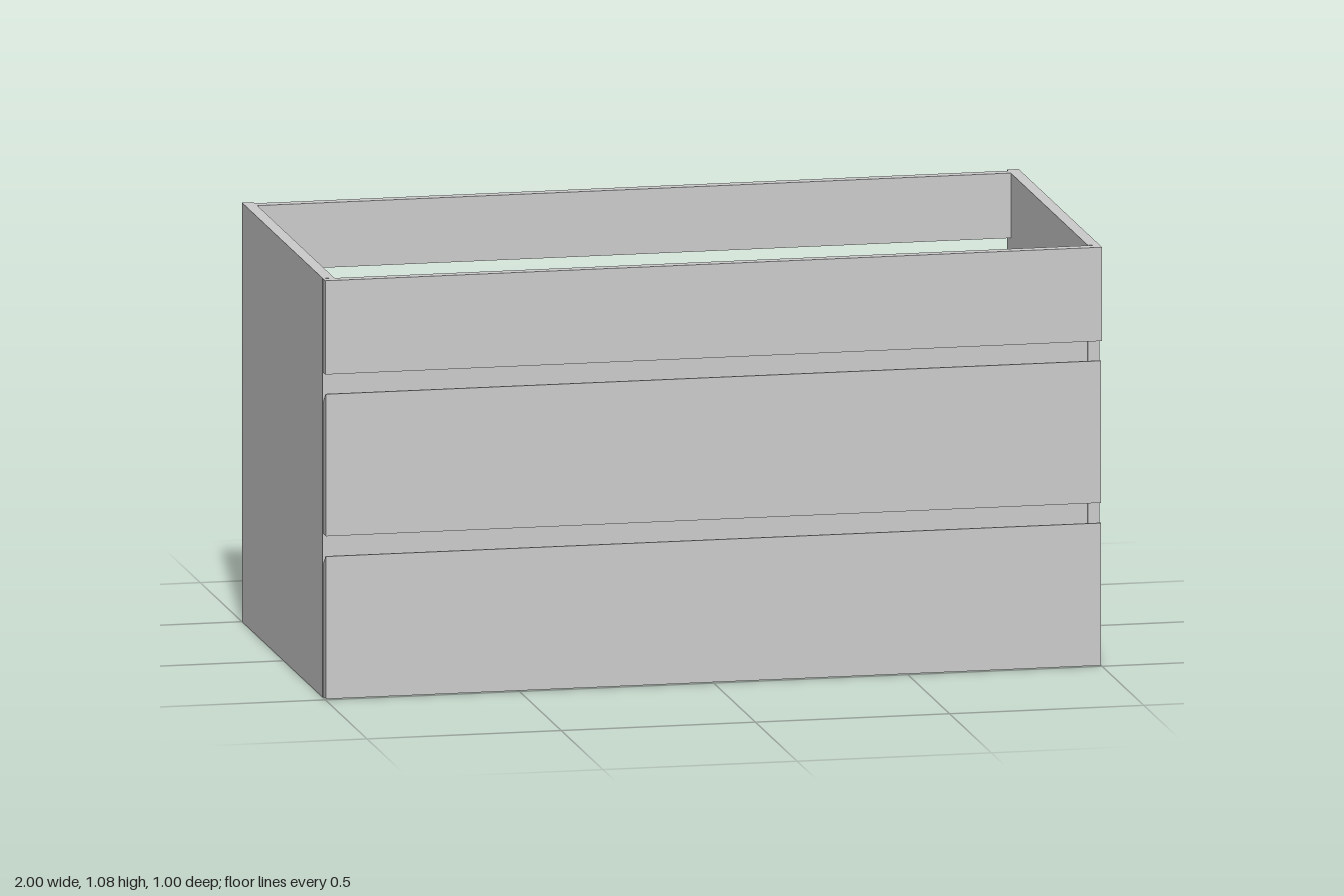
import * as THREE from 'three';

const material = new THREE.MeshStandardMaterial({ color: 0xcccccc, flatShading: true });
const T = 0.03; // board thickness
const H = 1.077; // cabinet height

// A board given by its limits on each axis
function board(parent, name, [x0, x1], [y0, y1], [z0, z1]) {
  const mesh = new THREE.Mesh(new THREE.BoxGeometry(x1 - x0, y1 - y0, z1 - z0), material);
  mesh.position.set((x0 + x1) / 2, (y0 + y1) / 2, (z0 + z1) / 2);
  mesh.name = name;
  parent.add(mesh);
  return mesh;
}

// Drawer front whose top edge is bevelled on the back as a finger grip
function drawerFront(parent, name, y0, y1) {
  const profile = new THREE.Shape([
    [0.471, y0], [0.499, y0], [0.499, y1], [0.493, y1], [0.471, y1 - 0.022],
  ].map(([z, y]) => new THREE.Vector2(z, y)));
  const geometry = new THREE.ExtrudeGeometry(profile, { depth: 1.996, bevelEnabled: false });
  geometry.rotateY(-Math.PI / 2).translate(0.998, 0, 0);
  const mesh = new THREE.Mesh(geometry, material);
  mesh.name = name;
  parent.add(mesh);
}

// Drawer box; notch = [x0, x1, z] is an optional cutout open to the back
function drawerBox(parent, name, y, notch) {
  const box = new THREE.Group();
  box.name = name;
  parent.add(box);
  const top = y + 0.2, base = y + 0.015, floorTop = base + 0.027;
  const back = -0.37, front = 0.469, inner = 0.93;

  for (const s of [-1, 1]) {
    const x = s * (inner + T / 2);
    board(box, 'drawerSide', [x - T / 2, x + T / 2], [y, top], [back, front]);
  }

  // Floor, U-shaped around the cutout
  const outline = [[-inner, front], [inner, front], [inner, back]];
  if (notch) outline.push([notch[1], back], [notch[1], notch[2]], [notch[0], notch[2]], [notch[0], back]);
  outline.push([-inner, back]);
  const shape = new THREE.Shape(outline.map(([x, z]) => new THREE.Vector2(x, -z)));
  const geometry = new THREE.ExtrudeGeometry(shape, { depth: floorTop - base, bevelEnabled: false });
  geometry.rotateX(-Math.PI / 2).translate(0, base, 0);
  const floor = new THREE.Mesh(geometry, material);
  floor.name = 'drawerFloor';
  box.add(floor);

  const height = [floorTop, top];
  if (!notch) {
    board(box, 'drawerBack', [-inner, inner], height, [back, back + T]);
    return;
  }
  // Back walls either side of the cutout, and the walls lining it
  const [n0, n1, nz] = notch;
  board(box, 'drawerBack', [-inner, n0 - T], height, [back, back + T]);
  board(box, 'drawerBack', [n1 + T, inner], height, [back, back + T]);
  board(box, 'cutoutSide', [n0 - T, n0], height, [back, nz]);
  board(box, 'cutoutSide', [n1, n1 + T], height, [back, nz]);
  board(box, 'cutoutFront', [n0 - T, n1 + T], height, [nz, nz + 0.027]);
}

export function createModel() {
  const model = new THREE.Group();
  model.name = 'vanityCabinet';

  // Carcass
  board(model, 'leftSide', [0.97, 1], [0, H], [-0.5, 0.469]);
  board(model, 'rightSide', [-1, -0.97], [0, H], [-0.5, 0.469]);
  const span = [-0.97, 0.97];
  board(model, 'bottomPanel', span, [0, T], [-0.5, 0.469]);
  board(model, 'upperBackRail', span, [0.91, H], [-0.485, -0.455]);
  board(model, 'lowerBackRail', span, [T, 0.207], [-0.485, -0.455]);

  // Rails behind the grip gaps
  for (const y of [0.32, 0.738]) board(model, 'frontRail', span, [y, y + 0.11], [0.437, 0.467]);

  // Fronts
  board(model, 'topFront', [-1, 1], [0.836, H], [0.471, 0.5]);
  drawerFront(model, 'upperDrawerFront', 0.42, 0.785);
  drawerFront(model, 'lowerDrawerFront', 0.002, 0.368);

  // Drawers, the upper one cut out for plumbing
  drawerBox(model, 'lowerDrawer', 0.073);
  drawerBox(model, 'upperDrawer', 0.502, [-0.155, 0.145, 0.133]);

  return model;
}
